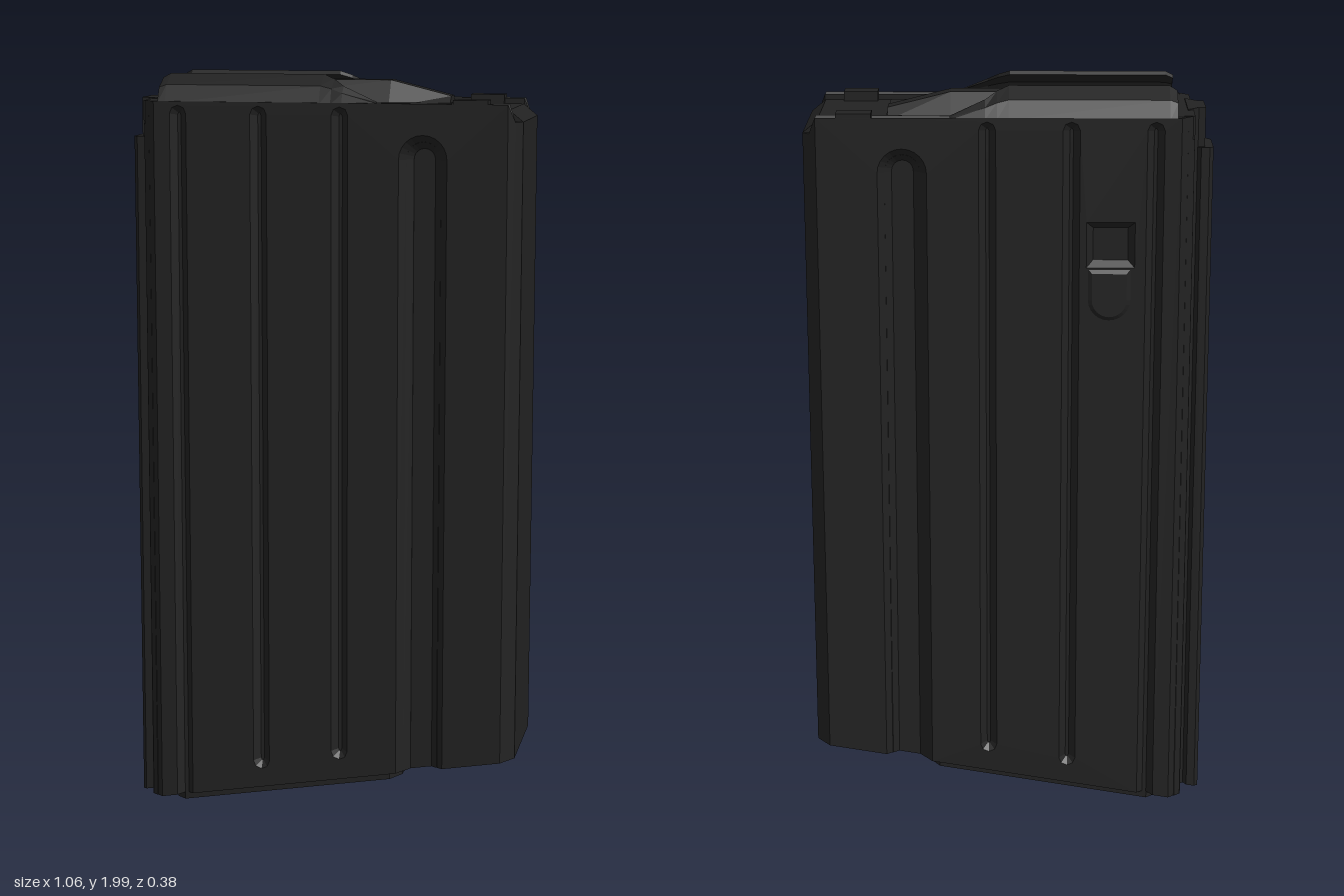
import * as THREE from 'three';

const STEP = 0.0175; // thickness and slope of each side-panel layer
const floorY = (x) => 0.105 + 0.165 * x; // slanted underside
const rimY = (x) => (x > 0.5 ? 1.885 : 1.93);

export function createModel() {
  const group = new THREE.Group();
  const blackMetal = new THREE.MeshStandardMaterial({ color: 0x222222 });

  const add = (name, geometry) => {
    const mesh = new THREE.Mesh(geometry, blackMetal);
    mesh.name = name;
    group.add(mesh);
    return mesh;
  };
  const toShape = (pts) => new THREE.Shape(pts.map(([x, y]) => new THREE.Vector2(x, y)));

  // Move vertices by a rule, then rebuild the flat normals
  const reshape = (geo, rule) => {
    const p = geo.attributes.position;
    for (let i = 0; i < p.count; i++) p.setY(i, rule(p.getX(i), p.getY(i)));
    geo.computeVertexNormals();
    return geo;
  };

  // Upright prism over an x-z outline, between two height rules
  const prism = (pts, low, high) => {
    const geo = new THREE.ExtrudeGeometry(toShape(pts), { depth: 1, bevelEnabled: false });
    geo.rotateX(-Math.PI / 2);
    return reshape(geo, (x, t) => low(x) + t * (high(x) - low(x)));
  };

  // Solid through matching [z, y] sections along x
  const loft = (stations) => {
    const pos = [];
    const n = stations[0].pts.length;
    const put = (i, j) => {
      const [z, y] = stations[i].pts[j % n];
      pos.push(stations[i].x, y, z);
    };
    const last = stations.length - 1;
    for (let i = 0; i < last; i++) {
      for (let j = 0; j < n; j++) {
        put(i, j); put(i + 1, j); put(i + 1, j + 1);
        put(i, j); put(i + 1, j + 1); put(i, j + 1);
      }
    }
    for (let j = 1; j < n - 1; j++) {
      put(0, 0); put(0, j); put(0, j + 1);
      put(last, 0); put(last, j + 1); put(last, j);
    }
    const geo = new THREE.BufferGeometry();
    geo.setAttribute('position', new THREE.Float32BufferAttribute(pos, 3));
    geo.computeVertexNormals();
    return geo;
  };

  // Round-ended arch, left to right
  const arch = (x, r, top, segs) => {
    const pts = [];
    for (let i = 0; i <= segs; i++) {
      const a = Math.PI * (1 - i / segs);
      pts.push([x + r * Math.cos(a), top - r + r * Math.sin(a)]);
    }
    return pts;
  };
  const notch = (x, r, top, segs) => [
    [x - r, floorY(x - r)], ...arch(x, r, top, segs), [x + r, floorY(x + r)],
  ];
  const groove = (x, r, bottom, top) => [
    ...arch(x, r, top, 4), ...arch(x, r, -bottom, 4).reverse().map(([u, v]) => [u, -v]),
  ];

  // Body core, with a chamfered front top edge
  const core = new THREE.ExtrudeGeometry(toShape([
    [-0.475, floorY(-0.475)], [0.527, floorY(0.527)], [0.527, 1.885], [0.49, 1.915], [-0.475, 1.915],
  ]), { depth: 0.3, bevelEnabled: false });
  core.translate(0, 0, -0.15);
  add('bodyCore', core);

  // Side panels: two sloped layers on each side
  const panel = (outline, holes, z) => {
    const shape = toShape(outline);
    holes.forEach((h) => shape.holes.push(toShape(h)));
    const geo = new THREE.ExtrudeGeometry(shape, {
      depth: 0.001, bevelThickness: STEP, bevelSize: STEP, bevelSegments: 1,
    });
    reshape(geo, (x, y) => Math.max(floorY(x), Math.min(rimY(x), y)));
    return geo.translate(0, 0, z);
  };
  for (const side of [1, -1]) {
    const label = side > 0 ? 'front' : 'back';
    const inner = [
      [-0.4575, floorY(-0.4575)], ...notch(0.273, 0.0455, 1.832, 12),
      [0.5095, floorY(0.5095)], [0.5095, 1.93], [-0.4575, 1.93],
    ];
    add(label + 'InnerPanel', panel(inner, [], side * 0.15));

    const outer = [
      [-0.44, floorY(-0.44)], ...notch(-0.375, 0.022, 1.92, 4), ...notch(0.273, 0.063, 1.85, 12),
      [0.492, floorY(0.492)], [0.492, 1.93], [-0.44, 1.93],
    ];
    const holes = [groove(-0.16, 0.022, 0.13, 1.92), groove(0.055, 0.022, 0.17, 1.92)];
    // Catch window on the back only
    if (side < 0) holes.push([[-0.325, 1.54], [-0.2, 1.54], [-0.2, 1.66], [-0.325, 1.66]]);
    add(label + 'OuterPanel', panel(outer, holes, side * 0.1675));

    // Feed lip, curling inward and fading out toward the front
    const profile = [[0.185, 1.925], [0.162, 1.972], [0.108, 2.0], [0.105, 1.99], [0.153, 1.962], [0.172, 1.92]];
    const lip = [
      [-0.43, 0.9, 0.85], [-0.41, 1, 1], [0, 1, 1], [0.03, 0.8, 0.85],
      [0.06, 0.45, 0.62], [0.15, 0.25, 0.1],
    ].map(([x, reach, rise]) => {
      const pts = profile.map(([z, y]) => [
        side * (0.185 - (0.185 - z) * reach), 1.925 + (y - 1.925) * rise,
      ]);
      return { x, pts: side > 0 ? pts : pts.reverse() };
    });
    add(label + 'FeedLip', loft(lip));

    // Small rim tab near the front
    const tab = new THREE.BoxGeometry(0.09, 0.05, 0.053);
    add(label + 'RimTab', tab).position.set(0.395, 1.915, side * 0.157);
  }

  // Tongue under the catch window
  const tongue = new THREE.ExtrudeGeometry(
    toShape([[-0.305, 1.525], ...arch(-0.26, 0.045, -1.41, 12).map(([x, y]) => [x, -y]), [-0.215, 1.525]]),
    { depth: 0.008, bevelThickness: 0.006, bevelSize: 0.01, bevelSegments: 1 });
  add('catchTongue', tongue).position.z = -0.185;

  // Rear wall and stepped spine
  add('rearWall', new THREE.BoxGeometry(0.045, 0.06, 0.31)).position.set(-0.4525, 1.9, 0);
  const mirrored = (half) => [...half, ...half.map(([x, z]) => [x, -z]).reverse()];
  const spineLow = (x) => floorY(x) - 0.011;
  add('spineInner', prism(
    mirrored([[-0.46, 0.08], [-0.475, 0.066], [-0.49, 0.049], [-0.508, 0.049]]), spineLow, () => 1.933));
  add('spineOuter', prism(
    mirrored([[-0.488, 0.05], [-0.498, 0.062], [-0.52, 0.062], [-0.53, 0.052]]), spineLow, () => 1.83));

  // Follower with its off-centre ridge
  const ridge = [[-0.435, 0.45], [-0.4, 1], [0.15, 1], [0.312, 0.42]].map(([x, h]) => ({
    x,
    pts: [[0, 0], [-0.04, 1], [-0.09, 1], [-0.115, 0]].map(([z, t]) => [z, 1.91 + 0.07 * h * t]),
  }));
  add('followerRidge', loft(ridge));
  add('follower', new THREE.BoxGeometry(0.74, 0.03, 0.24)).position.set(-0.055, 1.907, 0);

  // Slanted floor plate, raised oval and front tab underneath
  const under = (d) => (x) => floorY(x) - d;
  add('floorPlate', prism(
    mirrored([[-0.41, 0.13], [-0.38, 0.165], [0.19, 0.165], [0.22, 0.13]]), under(0.02), under(-0.01)));
  const oval = [];
  for (let i = 0; i < 24; i++) {
    const a = (i / 24) * Math.PI * 2;
    oval.push([-0.09 + Math.sign(Math.cos(a)) * 0.16 + 0.07 * Math.cos(a), 0.07 * Math.sin(a)]);
  }
  add('floorOval', prism(oval, under(0.028), under(0)));
  add('floorFrontTab', prism(
    mirrored([[0.37, 0.1], [0.39, 0.12], [0.46, 0.12], [0.48, 0.1]]), under(0.015), under(-0.01)));

  return group;
}
